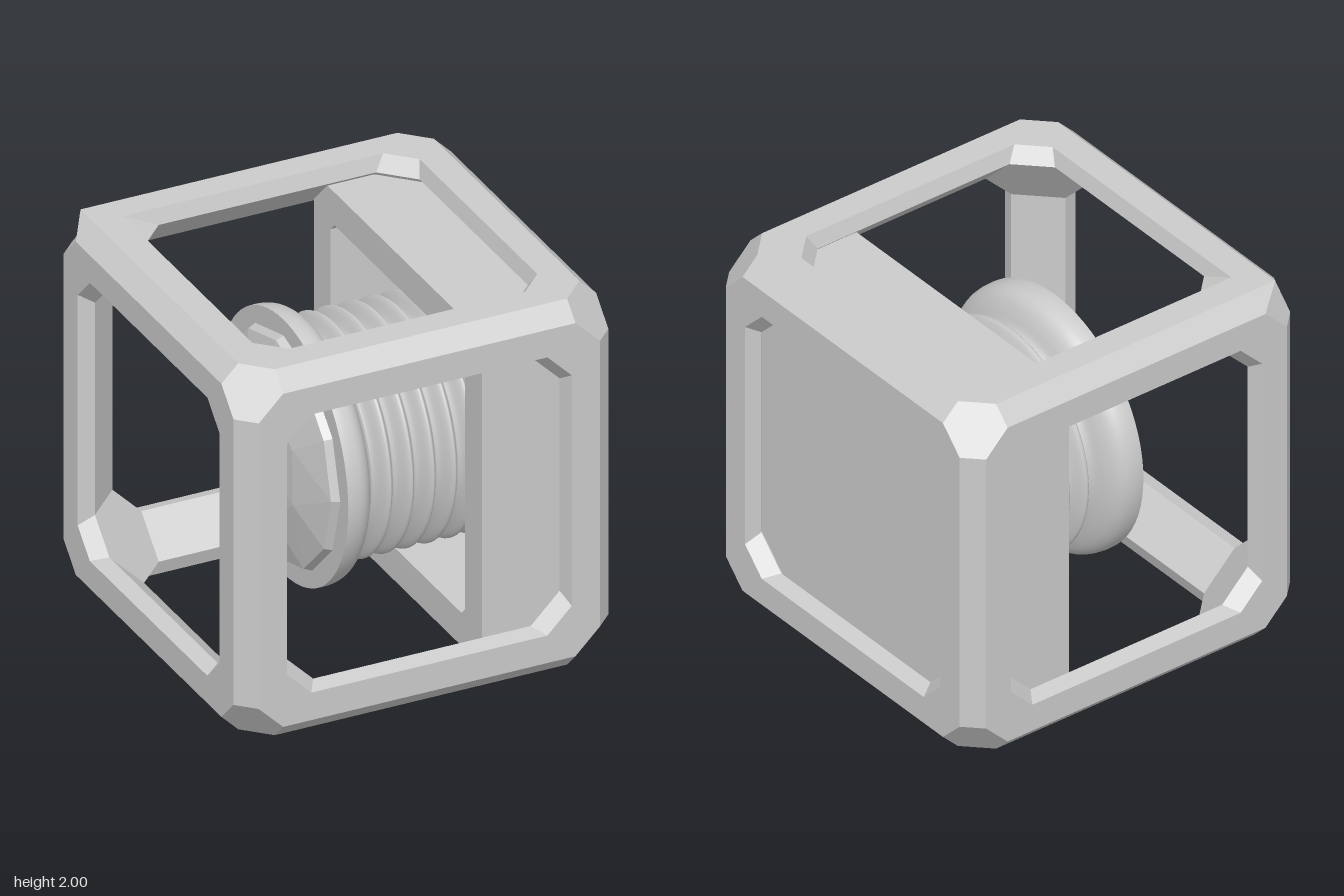
import * as THREE from 'three';
import { ConvexGeometry } from 'three/addons/geometries/ConvexGeometry.js';

const smooth = new THREE.MeshStandardMaterial({ color: 0xcccccc, side: THREE.DoubleSide });
const flat = new THREE.MeshStandardMaterial({ color: 0xcccccc, flatShading: true });

function add(parent, name, geometry, material) {
  const mesh = new THREE.Mesh(geometry, material);
  mesh.name = name;
  parent.add(mesh);
  return mesh;
}

// Chamfered square outline, half size a, with cuts starting at c
function octagon(a, c) {
  return [[a, -c], [a, c], [c, a], [-c, a], [-a, c], [-a, -c], [-c, -a], [c, -a]];
}

// Hollow cube: chamfered bars outside and inside, one window in each face
function cageGeometry() {
  const pos = [];
  const outer = [1, 0.91, 0.78], rim = [1, 0.76, 0.63], inner = [0.92, 0.735, 0.58];

  // The top corner at -x, -z is sharp instead of cut
  const sharpen = (v) => {
    if (v.y === 1 && v.x < 0 && v.z < 0) v.x = v.z = Math.min(v.x, v.z);
    return v;
  };
  const point = (axis, d, a, b) => {
    const v = new THREE.Vector3();
    v.setComponent(axis, d);
    v.setComponent((axis + 1) % 3, a);
    v.setComponent((axis + 2) % 3, b);
    return sharpen(v);
  };
  // Polygon wound so that it faces along the hint
  const poly = (pts, hint) => {
    const n = new THREE.Vector3();
    pts.forEach((p, i) => n.add(p.clone().cross(pts[(i + 1) % pts.length])));
    if (n.dot(hint) < 0) pts = pts.slice().reverse();
    for (let i = 1; i < pts.length - 1; i++) {
      for (const p of [pts[0], pts[i], pts[i + 1]]) pos.push(p.x, p.y, p.z);
    }
  };

  for (let axis = 0; axis < 3; axis++) {
    for (const s of [-1, 1]) {
      const ring = ([d, a, c]) => octagon(a, c).map(([u, v]) => point(axis, s * d, u, v));
      const o = ring(outer), w = ring(rim), n = ring(inner);
      const normal = point(axis, s, 0, 0);
      for (let i = 0; i < 8; i++) {
        const j = (i + 1) % 8;
        poly([o[i], o[j], w[j], w[i]], normal);
        // Window wall faces the middle of the window
        const mid = w[i].clone().add(w[j]).multiplyScalar(-1);
        mid.setComponent(axis, 0);
        poly([w[i], w[j], n[j], n[i]], mid);
      }
    }
    // Edge chamfers along this axis, outside and inside
    for (const su of [-1, 1]) for (const sv of [-1, 1]) {
      for (const [[d, a, c], dir] of [[outer, 1], [inner, -1]]) {
        poly([
          point(axis, -c, su * d, sv * a), point(axis, c, su * d, sv * a),
          point(axis, c, su * a, sv * d), point(axis, -c, su * a, sv * d),
        ], point(axis, 0, su * dir, sv * dir));
      }
    }
  }
  // Corner facets, outside and inside
  const order = [[0, 1, 2], [1, 0, 2], [2, 0, 1], [2, 1, 0], [1, 2, 0], [0, 2, 1]];
  for (const sx of [-1, 1]) for (const sy of [-1, 1]) for (const sz of [-1, 1]) {
    for (const [k, dir] of [[outer, 1], [inner, -1]]) {
      poly(order.map(([i, j, l]) => sharpen(new THREE.Vector3(sx * k[i], sy * k[j], sz * k[l]))),
        new THREE.Vector3(sx, sy, sz).multiplyScalar(dir));
    }
  }
  const g = new THREE.BufferGeometry();
  g.setAttribute('position', new THREE.Float32BufferAttribute(pos, 3));
  g.computeVertexNormals();
  return g;
}

// Slab standing across x, optionally with a square opening
function slab(x0, x1, opening) {
  const shape = new THREE.Shape(octagon(0.9, 0.85).map(([u, v]) => new THREE.Vector2(u, v)));
  if (opening) {
    shape.holes.push(new THREE.Path(
      octagon(opening, opening - 0.04).reverse().map(([u, v]) => new THREE.Vector2(u, v))));
  }
  return new THREE.ExtrudeGeometry(shape, { depth: x1 - x0, bevelEnabled: false })
    .rotateY(Math.PI / 2).translate(x0, 0, 0);
}

// Surface turned about the x axis from [x, radius] pairs
function turned(pairs) {
  return new THREE.LatheGeometry(pairs.map(([x, r]) => new THREE.Vector2(r, x)), 72)
    .rotateZ(-Math.PI / 2);
}

export function createModel() {
  const model = new THREE.Group();
  model.name = 'cagedPlunger';
  const body = new THREE.Group();
  body.name = 'body';
  body.position.y = 1;
  model.add(body);

  add(body, 'cage', cageGeometry(), flat);
  add(body, 'housingRim', slab(0.33, 0.72, 0.72), flat);
  add(body, 'housingBack', slab(0.72, 0.91), flat);

  // Rounded collar running into the wavy bellows
  const collar = new THREE.SplineCurve([
    [-0.28, 0.694], [-0.24, 0.695], [-0.19, 0.685], [-0.15, 0.655], [-0.12, 0.605], [-0.095, 0.545], [-0.068, 0.52],
  ].map(([x, r]) => new THREE.Vector2(x, r))).getPoints(24).map((p) => [p.x, p.y]);
  const waves = [];
  for (let x = -0.06; x < 0.725; x += 0.0096) {
    waves.push([x, 0.565 - 0.045 * Math.cos(((x + 0.068) / 0.115) * Math.PI * 2)]);
  }
  add(body, 'bellows', turned([...collar, ...waves]), smooth);
  add(body, 'collarFace', turned([[-0.28, 0.01], [-0.28, 0.685], [-0.28, 0.694]]), smooth);

  // Faceted dome on the collar
  const gem = [new THREE.Vector3(-0.405, 0, 0)];
  for (const [x, r, count, turn] of [[-0.385, 0.34, 7, 0.2], [-0.32, 0.59, 12, 0], [-0.275, 0.61, 12, 0]]) {
    for (let i = 0; i < count; i++) {
      const t = (i / count) * Math.PI * 2 + turn;
      gem.push(new THREE.Vector3(x, r * Math.cos(t), r * Math.sin(t)));
    }
  }
  add(body, 'facetedDome', new ConvexGeometry(gem), flat);
  return model;
}
